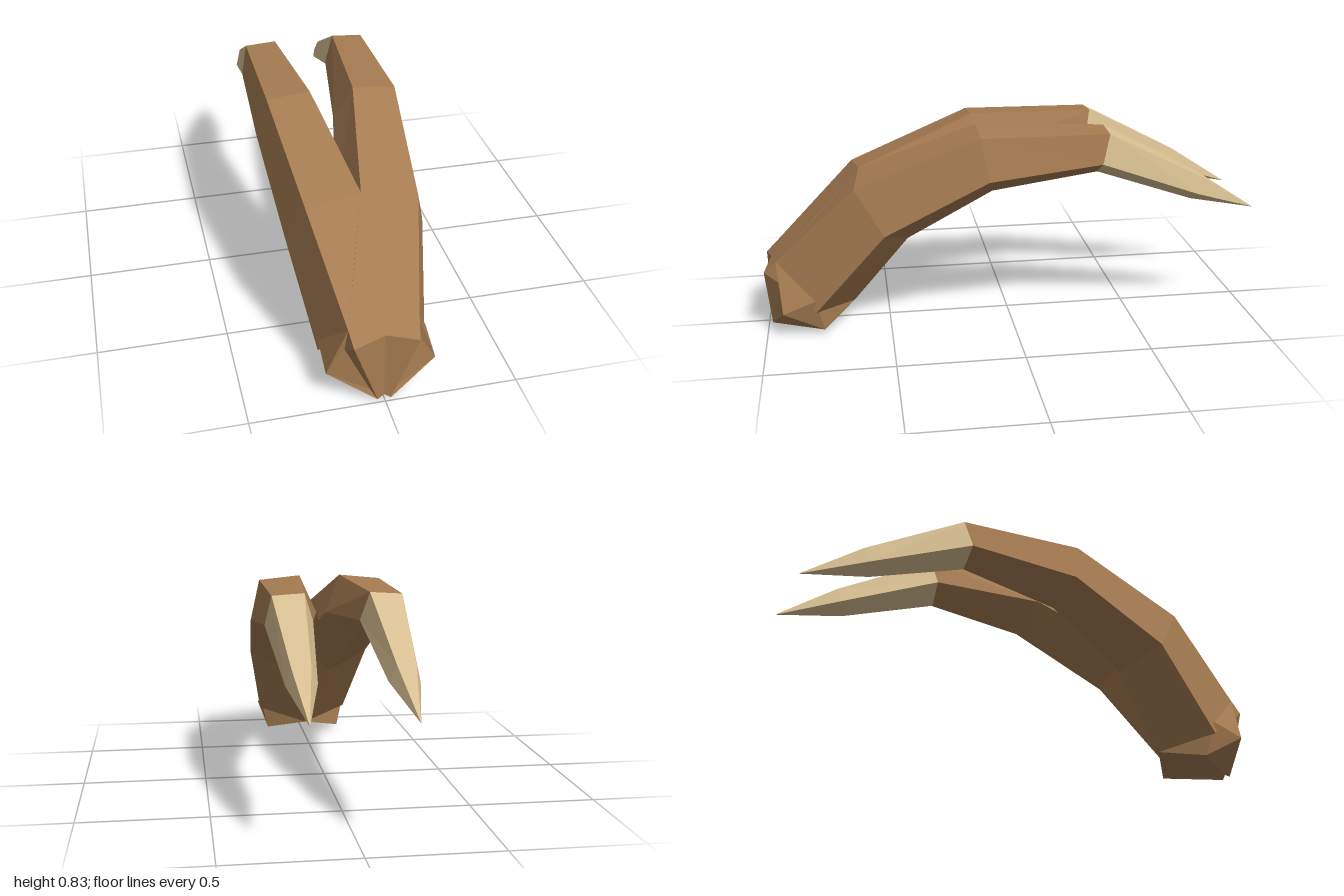
import * as THREE from 'three';

const brown = new THREE.MeshStandardMaterial({ color: 0xa67c52, side: THREE.DoubleSide });
brown.name = 'brown horn';
const ivory = new THREE.MeshStandardMaterial({ color: 0xd8bf92 });
ivory.name = 'ivory tip';

// Flat-faced mesh from convex polygons; side -1 mirrors it across x
function facets(name, polygons, material, side) {
  const pos = [];
  for (const p of polygons) {
    for (let i = 1; i < p.length - 1; i++) {
      const tri = side > 0 ? [p[0], p[i], p[i + 1]] : [p[0], p[i + 1], p[i]];
      for (const [x, y, z] of tri) pos.push(x * side, y, z);
    }
  }
  const g = new THREE.BufferGeometry();
  g.setAttribute('position', new THREE.Float32BufferAttribute(pos, 3));
  g.computeVertexNormals();
  const mesh = new THREE.Mesh(g, material);
  mesh.name = name;
  return mesh;
}

// Quads joining successive five-sided rings
function skin(rings) {
  const out = [];
  for (let r = 0; r < rings.length - 1; r++) {
    for (let j = 0; j < 5; j++) {
      const k = (j + 1) % 5;
      out.push([rings[r][j], rings[r][k], rings[r + 1][k], rings[r + 1][j]]);
    }
  }
  return out;
}

// Pentagon rings: top inner, top outer, outer, bottom, inner
const rings = [
  [[-0.13, 0.31, 0.95], [0.13, 0.31, 0.95], [0.205, 0.11, 0.8], [0, 0.07, 0.645], [-0.205, 0.11, 0.8]],
  [[0, 0.647, 0.605], [0.21, 0.62, 0.63], [0.268, 0.44, 0.52], [0.085, 0.365, 0.42], [-0.065, 0.48, 0.48]],
  [[0.085, 0.832, 0.14], [0.255, 0.815, 0.14], [0.295, 0.65, 0.11], [0.145, 0.57, 0.08], [0.02, 0.68, 0.09]],
  [[0.125, 0.82, -0.37], [0.25, 0.812, -0.37], [0.275, 0.697, -0.34], [0.175, 0.64, -0.34], [0.09, 0.71, -0.35]],
  [[0.15, 0.613, -0.765], [0.22, 0.61, -0.765], [0.24, 0.545, -0.745], [0.183, 0.51, -0.73], [0.125, 0.55, -0.745]],
];
const tip = [0.185, 0.46, -1];

// Corner points of the faceted root, on the +x half
const A = [0.13, 0.31, 0.95], C = [0, 0.285, 0.975], D = [0.12, 0.262, 1], E = [0.14, 0.22, 0.94];
const F = [0.05, 0.04, 0.97], G = [0.025, 0, 0.985], H = [0.17, 0.02, 0.77], K = [0.205, 0.11, 0.93];
const L = [0.205, 0.16, 0.8], N = [0, 0.015, 0.98], B = [0, 0.07, 0.645], T = [0, 0.31, 0.95];
const root = [
  [C, N, G, D],       // front plate
  [A, T, C], [A, C, D], // upper lip
  [A, D, E], [D, G, F, E], // groove
  [A, E, K], [E, F, K], // cheek
  [K, F, G], [K, G, H], // jaw
  [A, K, L], [K, H, L], // flank
  [H, G, N, B], [L, H, B], // underside
];

export function createModel() {
  const model = new THREE.Group();
  model.name = 'pairOfHorns';
  for (const [label, side] of [['left', 1], ['right', -1]]) {
    const horn = new THREE.Group();
    horn.name = label + 'Horn';
    const last = rings[4];
    const point = last.map((p, j) => [p, last[(j + 1) % 5], tip]);
    horn.add(
      facets(label + 'HornShaft', skin(rings.slice(0, 4)), brown, side),
      facets(label + 'HornTip', [...skin(rings.slice(3)), ...point], ivory, side),
      facets(label + 'HornRoot', root, brown, side),
    );
    model.add(horn);
  }
  return model;
}
